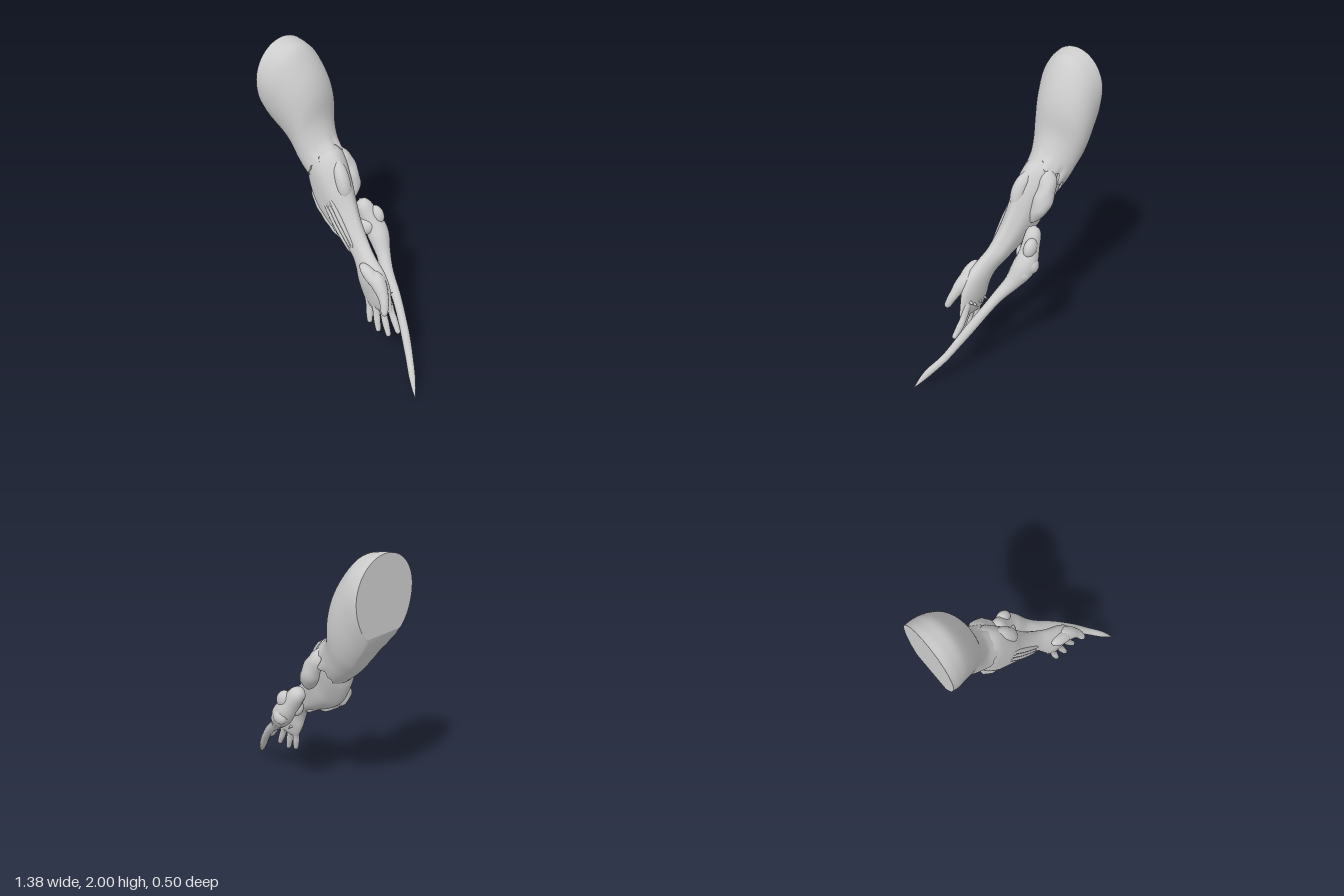
import * as THREE from 'three';
import { mergeVertices } from 'three/addons/utils/BufferGeometryUtils.js';

const mat = new THREE.MeshStandardMaterial({ color: 0xcccccc, side: THREE.DoubleSide });

function add(parent, name, geo) {
  const mesh = new THREE.Mesh(geo, mat);
  mesh.name = name;
  parent.add(mesh);
  return mesh;
}

// Lofts oval sections [x1,y1, x2,y2, zCentre, zHalf]: the two outline points span one axis, z the other.
// shape(u, t) returns [shift along the limb, swell, flattening of the underside].
function loft(sections, rows, cols, shape) {
  const curve = (k) => new THREE.CatmullRomCurve3(
    sections.map((s) => new THREE.Vector3(s[k], s[k + 1], 0)), false, 'catmullrom', 0.5);
  const c1 = curve(0), c2 = curve(2), c3 = curve(4);
  const pos = [], idx = [];
  for (let i = 0; i <= rows; i++) {
    const u = i / rows, l = c1.getPoint(u), r = c2.getPoint(u), z = c3.getPoint(u);
    const cx = (l.x + r.x) / 2, cy = (l.y + r.y) / 2;
    const ax = (r.x - l.x) / 2, ay = (r.y - l.y) / 2, len = Math.hypot(ax, ay);
    for (let j = 0; j < cols; j++) {
      const t = (j / cols) * Math.PI * 2;
      const [shift, swell, flat] = shape(u, t);
      const c = Math.max(-1, Math.cos(t) * (Math.cos(t) < 0 ? 1 + flat : 1)) * swell;
      pos.push(cx + ax * c + (ay / len) * shift, cy + ay * c - (ax / len) * shift,
        z.x + z.y * Math.sin(t) * swell);
    }
  }
  for (let i = 0; i < rows; i++) for (let j = 0; j < cols; j++) {
    const a = i * cols + j, b = i * cols + (j + 1) % cols;
    idx.push(a, b, a + cols, b, b + cols, a + cols);
  }
  // Flat ends keep their own vertices, so their rim stays sharp
  [0, rows].forEach((row, e) => {
    const start = pos.length / 3, mid = [0, 0, 0];
    for (let j = 0; j < cols; j++) for (let k = 0; k < 3; k++) {
      const v = pos[(row * cols + j) * 3 + k];
      pos.push(v);
      mid[k] += v / cols;
    }
    pos.push(...mid);
    for (let j = 0; j < cols; j++) {
      const a = start + j, b = start + (j + 1) % cols;
      idx.push(start + cols, ...(e ? [a, b] : [b, a]));
    }
  });
  const geo = new THREE.BufferGeometry();
  geo.setAttribute('position', new THREE.Float32BufferAttribute(pos, 3));
  geo.setIndex(idx);
  geo.computeVertexNormals();
  return geo;
}

// Round tube along points, with radii spread evenly along it and rounded ends
function limb(points, radii, { segs = 40, sides = 14, round = 0.1, lump = 0 } = {}) {
  const path = new THREE.CatmullRomCurve3(points.map((p) => new THREE.Vector3(...p)));
  let geo = new THREE.TubeGeometry(path, segs, 1, sides);
  const radius = new THREE.CatmullRomCurve3(radii.map((r, i) => new THREE.Vector3(r, i, 0)));
  const p = geo.attributes.position, n = geo.attributes.normal;
  for (let i = 0; i < p.count; i++) {
    const u = Math.floor(i / (sides + 1)) / segs;
    const e = Math.min(1, Math.min(u, 1 - u) / round);
    const c = path.getPointAt(u);
    const r = radius.getPoint(u).x * Math.sqrt(1 - (1 - e) ** 2)
      * (1 + lump * Math.sin(u * 19) * Math.cos(3 * (n.getX(i) + n.getZ(i))));
    p.setXYZ(i, c.x + n.getX(i) * r, c.y + n.getY(i) * r, c.z + n.getZ(i) * r);
  }
  geo.deleteAttribute('normal');
  geo.deleteAttribute('uv');
  geo = mergeVertices(geo, 1e-5);
  geo.computeVertexNormals();
  return geo;
}

function blob(parent, name, [x, y, z], [sx, sy, sz], tilt) {
  const m = add(parent, name, new THREE.SphereGeometry(1, 24, 16));
  m.position.set(x, y, z);
  m.scale.set(sx, sy, sz);
  m.rotation.z = tilt;
}

export function createModel() {
  const model = new THREE.Group();
  model.name = 'mutatedArm';

  // Upper arm: slightly slanted flat cut at the shoulder, ragged edge at the elbow
  const ragged = (u, t) => {
    const edge = Math.max(0, (u - 0.85) / 0.15);
    const slant = -0.014 * Math.max(0, 1 - u * 4) * Math.sin(t);
    return [slant + edge * (0.018 * Math.sin(t * 7) + 0.014 * Math.sin(t * 12 + 1)),
      1 + 0.015 * Math.sin(t * 3 + u * 9) * u, 0.25 * Math.max(0, 1 - u * 1.15)];
  };
  add(model, 'upperArm', loft([
    [-0.68, 1.53, -0.665, 2.0, -0.022, 0.215],
    [-0.662, 1.485, -0.6, 1.988, -0.027, 0.218],
    [-0.635, 1.43, -0.52, 1.95, -0.036, 0.212],
    [-0.595, 1.365, -0.43, 1.82, -0.05, 0.2],
    [-0.55, 1.29, -0.38, 1.69, -0.055, 0.182],
    [-0.5, 1.22, -0.355, 1.53, -0.045, 0.16],
    [-0.455, 1.165, -0.31, 1.42, -0.038, 0.145],
    [-0.41, 1.12, -0.25, 1.355, -0.03, 0.135],
  ], 40, 84, ragged));

  // Forearm and palm in one tapering skin with shallow sinew ridges
  const sinew = (u, t) => [0, 1 + 0.025 * Math.sin(t * 6 + u * 5) * Math.sin(Math.PI * Math.min(1, u * 1.5)), 0];
  add(model, 'forearmAndPalm', loft([
    [-0.43, 1.17, -0.29, 1.38, -0.03, 0.12],
    [-0.41, 1.07, -0.2, 1.325, -0.015, 0.12],
    [-0.35, 0.955, -0.1, 1.18, 0.008, 0.105],
    [-0.265, 0.875, -0.05, 1.07, 0.02, 0.092],
    [-0.14, 0.8, 0.01, 0.96, 0.04, 0.075],
    [-0.01, 0.73, 0.09, 0.86, 0.062, 0.062],
    [0.05, 0.67, 0.18, 0.79, 0.09, 0.057],
    [0.085, 0.6, 0.28, 0.715, 0.108, 0.062],
    [0.11, 0.52, 0.33, 0.63, 0.109, 0.054],
    [0.138, 0.46, 0.352, 0.53, 0.112, 0.04],
    [0.16, 0.425, 0.365, 0.46, 0.115, 0.024],
  ], 60, 60, sinew));

  // Fingers: root, knuckle, tip
  const hand = new THREE.Group();
  hand.name = 'hand';
  model.add(hand);
  const fingers = [
    [[0.16, 0.54, 0.11], [0.182, 0.41, 0.125], [0.205, 0.295, 0.145]],
    [[0.21, 0.54, 0.11], [0.248, 0.39, 0.13], [0.285, 0.265, 0.15]],
    [[0.26, 0.54, 0.108], [0.312, 0.39, 0.125], [0.37, 0.27, 0.145]],
    [[0.295, 0.57, 0.1], [0.355, 0.43, 0.1], [0.43, 0.315, 0.12]],
  ];
  fingers.forEach((f) => {
    add(hand, 'finger', limb(f, [0.022, 0.027, 0.025, 0.022, 0.023, 0.02, 0.016], { round: 0.08 }));
    // Small thorn on the back of each knuckle
    const thorn = add(hand, 'knuckleThorn', new THREE.ConeGeometry(0.012, 0.04, 8));
    thorn.position.set(f[0][0] + 0.01, f[0][1] - 0.02, 0.055);
    thorn.rotation.x = -Math.PI / 2 - 0.3;
  });
  add(hand, 'thumb', limb([[0.19, 0.71, 0.12], [0.28, 0.665, 0.148], [0.345, 0.595, 0.175], [0.385, 0.5, 0.212]],
    [0.04, 0.052, 0.046, 0.034, 0.027, 0.02]));
  blob(hand, 'palmSwelling', [0.225, 0.7, 0.152], [0.11, 0.042, 0.045], -0.55);

  // Exposed muscle strands along the front of the forearm
  const strands = new THREE.Group();
  strands.name = 'muscleStrands';
  model.add(strands);
  [-0.024, 0, 0.024].forEach((o) => add(strands, 'strand', limb([
    [-0.2 + o, 1.07 + o, 0.1], [-0.09 + o, 0.925 + o, 0.11],
    [0.025 + o * 0.6, 0.785 + o, 0.115]], [0.012, 0.016, 0.014, 0.009], { sides: 8 })));

  // Swollen growths on the forearm
  add(model, 'backGrowth', limb([[-0.31, 1.35, -0.085], [-0.26, 1.25, -0.112], [-0.2, 1.135, -0.118], [-0.14, 0.99, -0.075]],
    [0.035, 0.058, 0.064, 0.058, 0.03], { round: 0.3, lump: 0.06 }));
  add(model, 'upperGrowth', limb([[-0.22, 1.32, -0.01], [-0.145, 1.21, 0.02], [-0.098, 1.05, 0.025]],
    [0.03, 0.046, 0.048, 0.03], { round: 0.3 }));

  // Torn skin along the lower edge
  add(model, 'tornSkin', limb([[-0.39, 1.05, 0.035], [-0.325, 0.935, 0.045], [-0.21, 0.84, 0.05], [-0.1, 0.79, 0.055], [0.03, 0.7, 0.07]],
    [0.014, 0.022, 0.02, 0.025, 0.018, 0.012], { lump: 0.3 }));

  // Tentacle rooted in a cluster of lumps behind the forearm
  const tentacle = new THREE.Group();
  tentacle.name = 'tentacle';
  model.add(tentacle);
  add(tentacle, 'tentacleStem', limb([
    [-0.12, 1.0, -0.12], [-0.06, 0.9, -0.135], [0.01, 0.79, -0.145], [0.09, 0.685, -0.11], [0.18, 0.59, -0.055],
    [0.3, 0.48, -0.005], [0.42, 0.34, 0.06], [0.52, 0.21, 0.125], [0.61, 0.11, 0.195], [0.69, 0.005, 0.255]],
  [0.05, 0.062, 0.074, 0.05, 0.038, 0.032, 0.03, 0.028, 0.025, 0.022, 0.003], { segs: 80, round: 0.05, lump: 0.05 }));
  [[[-0.01, 0.9, -0.165], [0.05, 0.065, 0.04]], [[0.0, 0.78, -0.185], [0.055, 0.055, 0.045]],
    [[0.05, 0.74, -0.15], [0.05, 0.06, 0.055]], [[-0.04, 0.83, -0.1], [0.06, 0.06, 0.055]]]
    .forEach(([p, s]) => blob(tentacle, 'rootLump', p, s, 0.5));

  return model;
}
